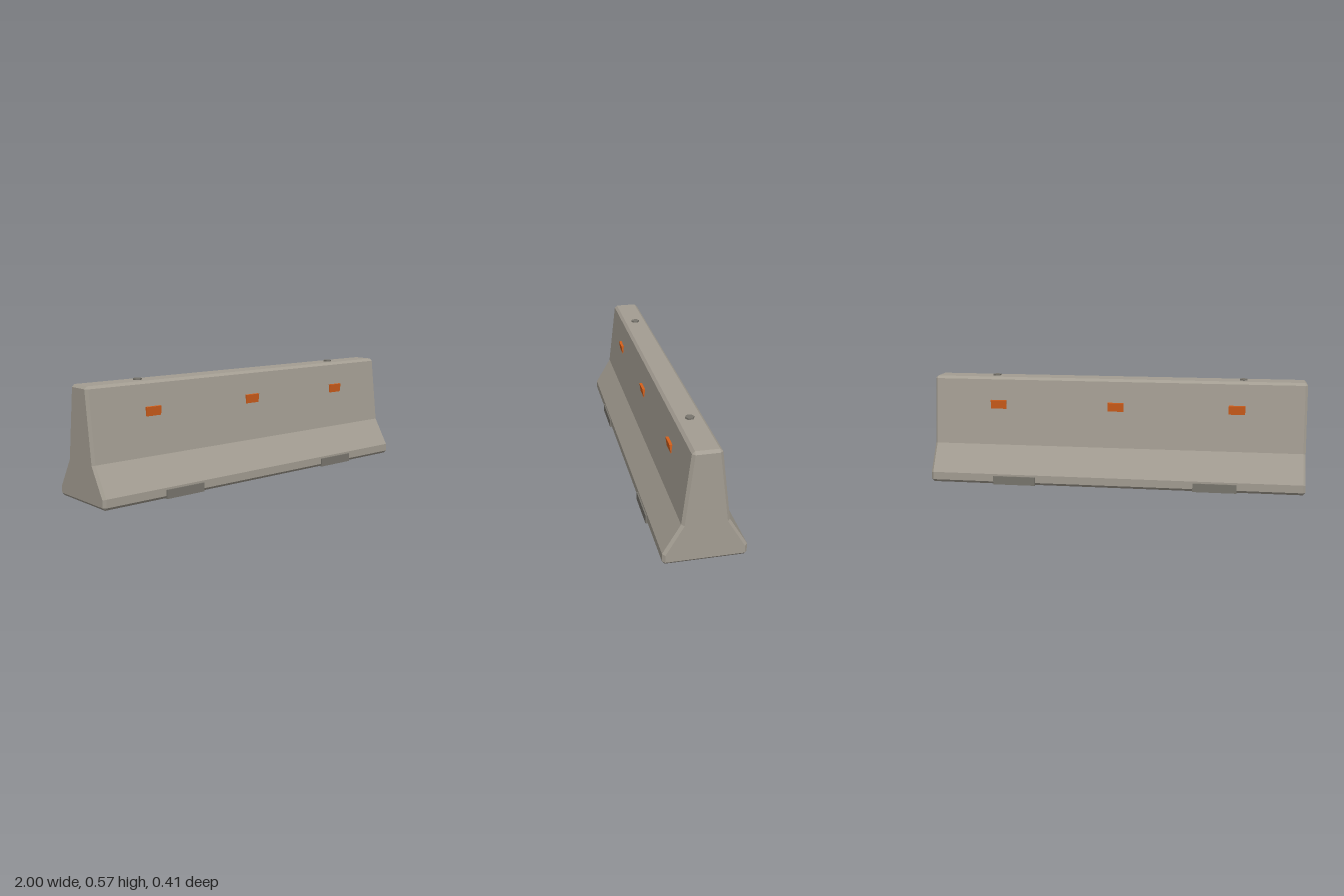
import * as THREE from 'three';

const mat = (name, color) => {
  const m = new THREE.MeshStandardMaterial({ color });
  m.name = name;
  return m;
};

// Half profiles as [z, y], bottom to top: full section and the inset end face
const OUTER = [[0.187, 0], [0.2, 0.014], [0.2, 0.055], [0.113, 0.2], [0.07, 0.551], [0.056, 0.564]];
const INNER = [[0.187, 0.014], [0.187, 0.014], [0.187, 0.051], [0.1, 0.197], [0.056, 0.551], [0.056, 0.551]];

// Lofts mirrored sections along x, with faceted faces and closed ends
function barrierGeometry() {
  const section = (half, x) => {
    const side = half.map(([z, y]) => new THREE.Vector3(x, y, z));
    const other = half.map(([z, y]) => new THREE.Vector3(x, y, -z)).reverse();
    return [...side, ...other];
  };
  const rings = [section(INNER, -1), section(OUTER, -0.987), section(OUTER, 0.987), section(INNER, 1)];
  const points = [];
  const tri = (a, b, c) => {
    if (new THREE.Triangle(a, b, c).getArea() > 1e-7) points.push(a, b, c);
  };
  const quad = (a, b, c, d) => { tri(a, b, c); tri(a, c, d); };
  const n = rings[0].length;

  for (let r = 0; r < rings.length - 1; r++) {
    for (let i = 0; i < n; i++) {
      const j = (i + 1) % n;
      quad(rings[r][i], rings[r + 1][i], rings[r + 1][j], rings[r][j]);
    }
  }
  const [left, right] = [rings[3], rings[0]];
  for (let i = 0; i < n / 2 - 1; i++) {
    const k = n - 1 - i;
    quad(left[i], left[k], left[k - 1], left[i + 1]);
    quad(right[i], right[i + 1], right[k - 1], right[k]);
  }
  const geo = new THREE.BufferGeometry().setFromPoints(points);
  geo.computeVertexNormals();
  return geo;
}

// Wedge reflector for the front face, thicker at the top
function reflectorGeometry() {
  const width = 0.086;
  const shape = new THREE.Shape([[0.075, 0.395], [0.0915, 0.394], [0.098, 0.44], [0.075, 0.441]]
    .map(([z, y]) => new THREE.Vector2(-z, y)));
  const geo = new THREE.ExtrudeGeometry(shape, { depth: width, bevelEnabled: false });
  return geo.translate(0, 0, -width / 2).rotateY(Math.PI / 2);
}

export function createModel() {
  const group = new THREE.Group();
  const concrete = mat('concrete', 0xa39d92);
  const orange = mat('reflector orange', 0xd4601c);
  const steel = mat('dark grey', 0x78756d);

  const add = (name, geo, material, x = 0, y = 0, z = 0) => {
    const mesh = new THREE.Mesh(geo, material);
    mesh.name = name;
    mesh.position.set(x, y, z);
    group.add(mesh);
    return mesh;
  };

  add('barrierBody', barrierGeometry(), concrete);

  // Reflectors and foot plates on both long sides
  const reflector = reflectorGeometry();
  const plate = new THREE.BoxGeometry(0.228, 0.045, 0.02);
  for (const side of [1, -1]) {
    const face = side > 0 ? 'front' : 'back';
    for (const x of [-0.64, 0, 0.64]) {
      add(face + 'Reflector', reflector, orange, x).rotation.y = side > 0 ? 0 : Math.PI;
    }
    for (const x of [-0.535, 0.535]) {
      add(face + 'FootPlate', plate, steel, x, 0.0225, side * 0.197);
    }
  }

  // Lifting bolts on the top
  const bolt = new THREE.CylinderGeometry(0.0225, 0.0225, 0.016, 6).toNonIndexed();
  bolt.computeVertexNormals();
  for (const x of [-0.67, 0.67]) add('liftingBolt', bolt, steel, x, 0.564, 0);

  return group;
}
